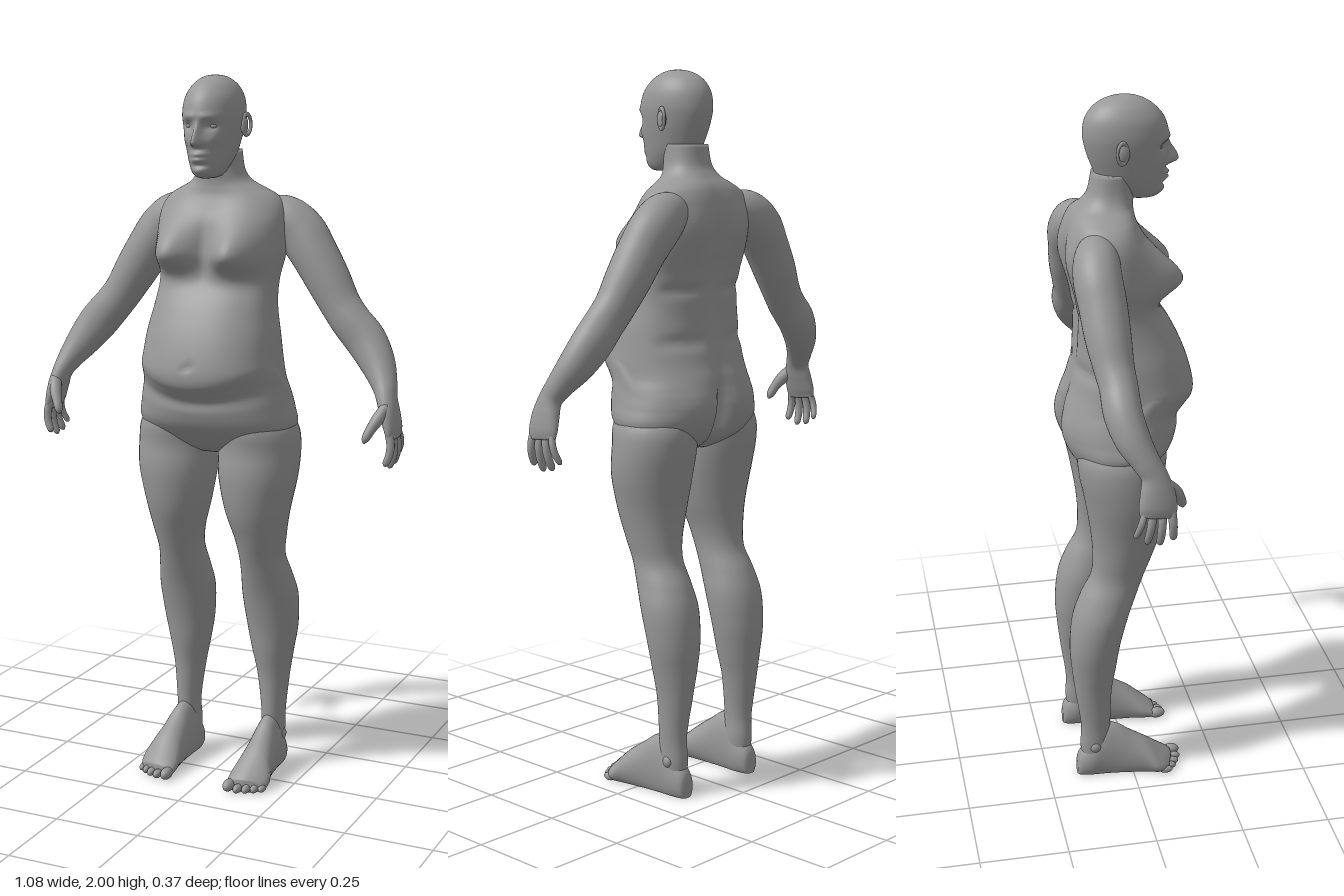
import * as THREE from 'three';

const X = new THREE.Vector3(1, 0, 0), Y = new THREE.Vector3(0, 1, 0), Z = new THREE.Vector3(0, 0, 1);
const skin = new THREE.MeshStandardMaterial({ color: 0x999999 });
skin.name = 'grey skin';

const bump = (v, c, s) => Math.exp(-(((v - c) / s) ** 2));
const step = THREE.MathUtils.smoothstep;

// Closed loft through rows [x, y, z, half size a, half size b]; b points along hint.
// A fixed axis keeps the sections parallel; rule(p) moves single vertices.
function loft(rows, { steps = 40, sides = 32, hint = Z, axis = null, power = 1, rule = null }) {
  const path = new THREE.CatmullRomCurve3(rows.map(r => new THREE.Vector3(r[0], r[1], r[2])), false, 'catmullrom');
  const size = new THREE.CatmullRomCurve3(rows.map(r => new THREE.Vector3(r[3], r[4], 0)), false, 'catmullrom');
  const pos = [], index = [];
  const shape = c => Math.sign(c) * Math.abs(c) ** power;
  for (let i = 0; i <= steps; i++) {
    const c = path.getPoint(i / steps), s = size.getPoint(i / steps);
    const t = axis || path.getTangent(i / steps);
    const v = hint.clone().addScaledVector(t, -hint.dot(t)).normalize();
    const u = t.clone().cross(v);
    for (let j = 0; j < sides; j++) {
      const q = (j / sides) * Math.PI * 2;
      const p = c.clone().addScaledVector(u, s.x * shape(Math.cos(q))).addScaledVector(v, s.y * shape(Math.sin(q)));
      if (rule) rule(p);
      pos.push(p.x, p.y, p.z);
      if (i < steps) {
        const a = i * sides + j, b = i * sides + (j + 1) % sides;
        index.push(a, a + sides, b, b, a + sides, b + sides);
      }
    }
  }
  // End caps
  const first = pos.length / 3, top = steps * sides;
  for (const t of [0, 1]) {
    const p = path.getPoint(t);
    if (rule) rule(p);
    pos.push(p.x, p.y, p.z);
  }
  for (let j = 0; j < sides; j++) {
    const k = (j + 1) % sides;
    index.push(first, j, k, first + 1, top + k, top + j);
  }
  const geo = new THREE.BufferGeometry();
  geo.setAttribute('position', new THREE.Float32BufferAttribute(pos, 3));
  geo.setIndex(index);
  geo.computeVertexNormals();
  return geo;
}

// Rows [y, half width, front z, back z] to loft rows
const upright = rows => rows.map(([y, w, f, b]) => [0, y, (f + b) / 2, w, (f - b) / 2]);

const ball = (x, y, z, rx, ry, rz) => new THREE.SphereGeometry(1, 20, 14).scale(rx, ry, rz).translate(x, y, z);

function mirrored(geo) {
  const g = geo.clone().scale(-1, 1, 1);
  const ix = g.index.array;
  for (let i = 0; i < ix.length; i += 3) [ix[i], ix[i + 1]] = [ix[i + 1], ix[i]];
  g.computeVertexNormals();
  return g;
}

// Breasts, belly fold, navel, spine, shoulder blades and buttocks
function torsoRule(p) {
  const { x, y, z } = p, ax = Math.abs(x);
  const front = step(z, -0.03, 0.05), back = 1 - step(z, -0.11, -0.05);
  p.z += front * 0.083 * bump(ax, 0.095, 0.066) * bump(y, 1.525, y < 1.525 ? 0.05 : 0.078);
  p.z -= front * 0.012 * bump(x, 0, 0.02) * bump(y, 1.53, 0.07);
  p.z -= front * 0.008 * bump(x, 0, 0.01) * bump(y, 1.225, 0.01);
  p.y += front * 1.3 * x * x * bump(y, 1.15, 0.06);
  p.z += back * 0.016 * bump(x, 0, 0.03) * bump(y, 1.45, 0.17);
  p.z -= back * 0.014 * bump(ax, 0.09, 0.05) * bump(y, 1.57, 0.06);
  p.z += back * 0.009 * (bump(y, 1.41, 0.015) + bump(y, 1.27, 0.018)) * step(ax, 0, 0.08);
  p.z += back * 0.045 * bump(x, 0, 0.022) * bump(y, 1.06, 0.1);
  p.z -= back * 0.01 * bump(ax, 0.09, 0.06) * bump(y, 1.1, 0.08);
}

// Brow, eye sockets, nose, lips, chin and cheeks
function faceRule(p) {
  const { x, y, z } = p, ax = Math.abs(x);
  const f = step(z, 0.02, 0.08);
  const nose = y > 1.822 ? 1 - step(y, 1.822, 1.89) : step(y, 1.806, 1.822);
  p.z += f * 0.034 * nose * bump(x, 0, 0.009 + 0.008 * bump(y, 1.822, 0.02));
  p.z += f * 0.005 * bump(ax, 0.028, 0.025) * bump(y, 1.892, 0.01);
  p.z -= f * 0.013 * bump(ax, 0.033, 0.017) * bump(y, 1.867, 0.013);
  p.z += f * 0.006 * bump(ax, 0.045, 0.018) * bump(y, 1.83, 0.018);
  p.z += f * 0.011 * bump(x, 0, 0.02) * (bump(y, 1.792, 0.007) + bump(y, 1.777, 0.007));
  p.z -= f * 0.006 * bump(x, 0, 0.025) * bump(y, 1.762, 0.007);
  p.z += f * 0.005 * bump(x, 0, 0.02) * bump(y, 1.745, 0.012);
}

export function createModel() {
  const model = new THREE.Group();
  model.name = 'figure';
  const add = (name, geo) => {
    const mesh = new THREE.Mesh(geo, skin);
    mesh.name = name;
    model.add(mesh);
  };
  const pair = (name, geo) => {
    add('left ' + name, geo);
    add('right ' + name, mirrored(geo));
  };

  // Torso with neck
  add('torso', loft(upright([
    [0.965, 0.07, 0.04, -0.09], [0.985, 0.14, 0.07, -0.125], [1.01, 0.205, 0.095, -0.152], [1.05, 0.228, 0.127, -0.17],
    [1.09, 0.22, 0.143, -0.178], [1.12, 0.212, 0.145, -0.177], [1.145, 0.207, 0.165, -0.173], [1.175, 0.2, 0.187, -0.167],
    [1.22, 0.196, 0.188, -0.153], [1.3, 0.187, 0.165, -0.138], [1.38, 0.173, 0.128, -0.135], [1.45, 0.171, 0.085, -0.14],
    [1.52, 0.185, 0.075, -0.152], [1.6, 0.187, 0.06, -0.16], [1.645, 0.178, 0.042, -0.155], [1.675, 0.155, 0.03, -0.145],
    [1.695, 0.12, 0.026, -0.133], [1.715, 0.084, 0.025, -0.115], [1.745, 0.066, 0.028, -0.095], [1.8, 0.06, 0.028, -0.083],
  ]), { steps: 130, sides: 96, axis: Y, power: 0.87, rule: torsoRule }));

  // Head
  add('head', loft(upright([
    [1.727, 0.02, 0.08, 0.02], [1.733, 0.034, 0.095, 0], [1.75, 0.046, 0.108, -0.03], [1.78, 0.058, 0.113, -0.065],
    [1.82, 0.068, 0.116, -0.085], [1.86, 0.076, 0.119, -0.099], [1.9, 0.08, 0.122, -0.106], [1.94, 0.075, 0.11, -0.1],
    [1.97, 0.06, 0.085, -0.08], [1.988, 0.041, 0.058, -0.053], [1.997, 0.022, 0.032, -0.025], [2, 0.002, 0.006, 0.002],
  ]), { steps: 130, sides: 112, axis: Y, rule: faceRule }));
  pair('eye', ball(0.033, 1.867, 0.085, 0.014, 0.009, 0.014));

  // Ears: a flat shell with a raised rim
  const rim = new THREE.TorusGeometry(0.02, 0.005, 8, 24).scale(0.8, 1.35, 1).rotateY(Math.PI / 2 - 0.4).translate(0.084, 1.868, -0.016);
  pair('ear rim', rim);
  pair('ear', ball(0.08, 1.866, -0.012, 0.008, 0.026, 0.016));

  // Arms down to the knuckles
  pair('arm', loft([
    [0.10, 1.625, -0.09, 0.045, 0.045], [0.16, 1.61, -0.1, 0.066, 0.06], [0.21, 1.573, -0.105, 0.07, 0.064],
    [0.25, 1.52, -0.1, 0.066, 0.063], [0.295, 1.45, -0.095, 0.062, 0.06], [0.335, 1.385, -0.088, 0.056, 0.053],
    [0.37, 1.34, -0.082, 0.056, 0.05], [0.415, 1.29, -0.08, 0.057, 0.05], [0.455, 1.235, -0.063, 0.049, 0.046],
    [0.485, 1.185, -0.035, 0.036, 0.037], [0.5, 1.15, -0.016, 0.028, 0.035], [0.512, 1.11, -0.01, 0.025, 0.045],
    [0.522, 1.07, -0.01, 0.02, 0.05], [0.526, 1.045, -0.012, 0.013, 0.046],
  ], { steps: 70, sides: 36 }));

  // Fingers: base z, tip z, tip y
  const names = ['index finger', 'middle finger', 'ring finger', 'little finger'];
  [[0.025, 0.032, 0.972], [0.002, -0.004, 0.96], [-0.022, -0.038, 0.966], [-0.043, -0.068, 0.985]].forEach(([bz, tz, ty], i) => {
    const r = i === 3 ? 0.0095 : 0.0115, at = k => bz + (tz - bz) * k, y = k => 1.065 + (ty - 1.065) * k;
    pair(names[i], loft([
      [0.522, y(0), at(0), r, r], [0.529, y(0.35), at(0.35), r, r], [0.527, y(0.65), at(0.65), r * 0.95, r * 0.95],
      [0.518, y(0.92), at(0.92), r * 0.8, r * 0.8], [0.514, y(1), at(1), r * 0.25, r * 0.25],
    ], { steps: 20, sides: 12 }));
  });
  pair('thumb', loft([
    [0.508, 1.13, 0.01, 0.015, 0.018], [0.495, 1.1, 0.038, 0.017, 0.018], [0.482, 1.075, 0.054, 0.014, 0.014],
    [0.471, 1.05, 0.064, 0.011, 0.012], [0.467, 1.037, 0.067, 0.003, 0.003],
  ], { steps: 20, sides: 14 }));

  // Legs
  pair('leg', loft([
    [0.135, 0.04, -0.112, 0.03, 0.036], [0.135, 0.1, -0.11, 0.034, 0.043], [0.137, 0.17, -0.108, 0.034, 0.043],
    [0.135, 0.28, -0.113, 0.046, 0.053], [0.133, 0.36, -0.111, 0.061, 0.064], [0.133, 0.44, -0.107, 0.075, 0.073],
    [0.132, 0.53, -0.091, 0.081, 0.08], [0.13, 0.6, -0.067, 0.072, 0.08], [0.127, 0.66, -0.041, 0.065, 0.076],
    [0.127, 0.72, -0.026, 0.073, 0.084], [0.123, 0.8, -0.015, 0.092, 0.1], [0.124, 0.9, -0.016, 0.112, 0.115],
    [0.124, 0.98, -0.026, 0.116, 0.12], [0.12, 1.04, -0.025, 0.11, 0.122], [0.11, 1.1, -0.02, 0.08, 0.1],
  ], { steps: 90, sides: 40, axis: Y }));
  pair('ankle bone', ball(0.162, 0.1, -0.112, 0.013, 0.018, 0.016));

  // Feet: x, z, half width, top height; the sole is pressed flat
  const foot = [
    [0.135, -0.164, 0.014, 0.05], [0.135, -0.155, 0.027, 0.075], [0.135, -0.125, 0.036, 0.11], [0.136, -0.085, 0.037, 0.165],
    [0.138, -0.045, 0.039, 0.158], [0.14, -0.005, 0.044, 0.13], [0.142, 0.04, 0.051, 0.1], [0.143, 0.08, 0.058, 0.068],
    [0.142, 0.105, 0.057, 0.048], [0.138, 0.12, 0.05, 0.034],
  ].map(([x, z, w, h]) => [x, h * 0.42, z, w, h * 0.58]);
  pair('foot', loft(foot, {
    steps: 48, sides: 36, hint: Y, axis: Z,
    rule: p => { p.y = Math.max(p.y, 0); p.z -= 0.35 * Math.max(0, p.x - 0.14) * step(p.z, 0.03, 0.11); },
  }));
  [[0.099, 0.126, 0.017], [0.127, 0.129, 0.0125], [0.15, 0.12, 0.012], [0.171, 0.108, 0.0115], [0.189, 0.094, 0.011]].forEach(([x, z, r], i) => {
    pair('toe ' + (i + 1), ball(x, r, z, r * 0.92, r, i ? 0.02 : 0.026));
  });
  return model;
}
